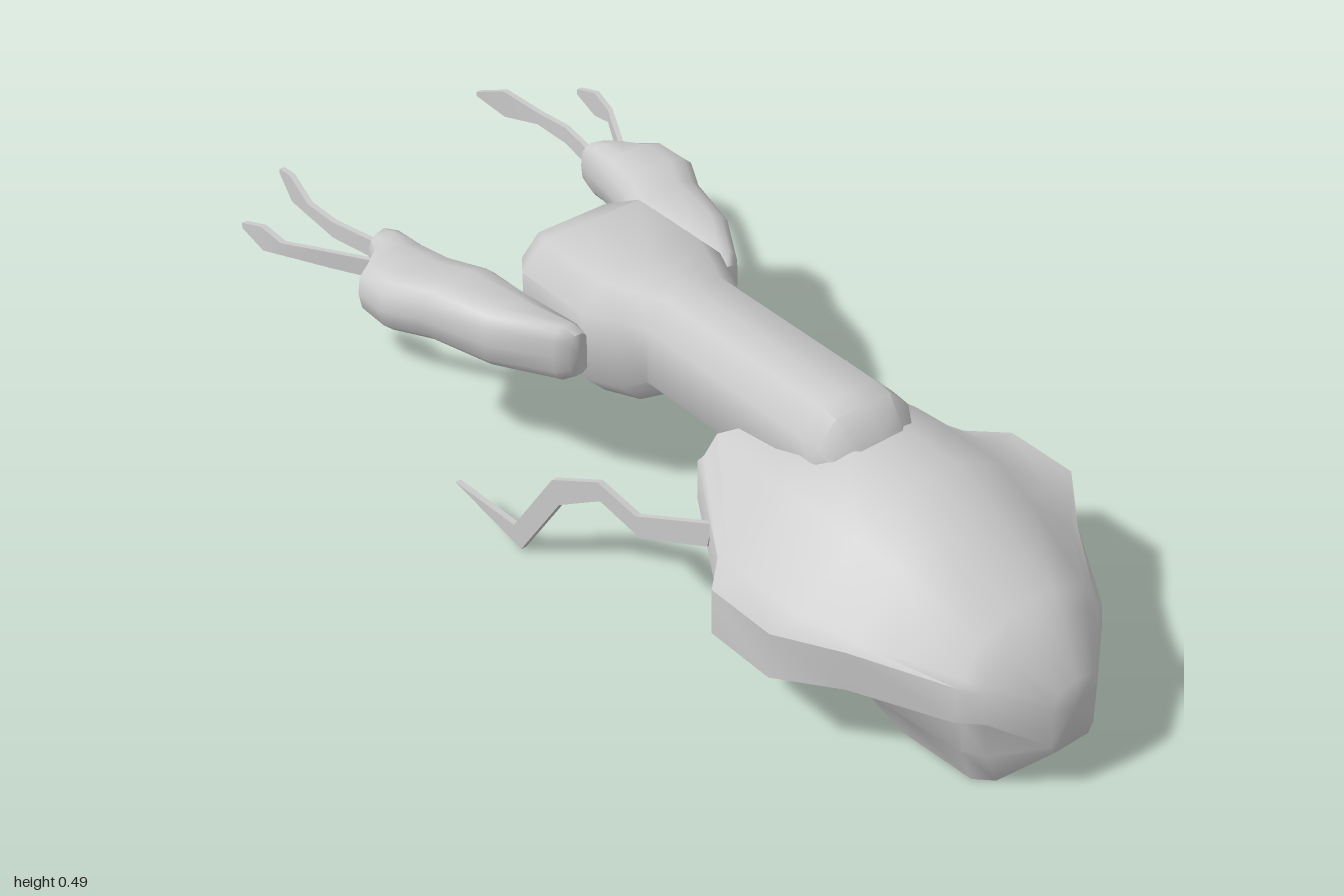
import * as THREE from 'three';
import { toCreasedNormals } from 'three/addons/utils/BufferGeometryUtils.js';

const material = new THREE.MeshStandardMaterial({ color: 0xcccccc });

// Skin a list of rings (counter-clockwise seen from +z, ordered front to back) and cap both ends.
function loft(rings, endCentre) {
  const pos = [];
  const n = rings[0].length;
  const centre = (ring) => [0, 1, 2].map((k) => ring.reduce((s, p) => s + p[k], 0) / n);
  const first = rings[0], last = rings[rings.length - 1];
  const c0 = centre(first), c1 = endCentre || centre(last);
  for (let j = 0; j < n; j++) {
    const k = (j + 1) % n;
    for (let i = 0; i < rings.length - 1; i++) {
      const a = rings[i][j], b = rings[i + 1][j], c = rings[i + 1][k], d = rings[i][k];
      pos.push(...a, ...b, ...d, ...b, ...c, ...d);
    }
    pos.push(...c0, ...first[j], ...first[k], ...c1, ...last[k], ...last[j]);
  }
  const g = new THREE.BufferGeometry();
  g.setAttribute('position', new THREE.Float32BufferAttribute(pos, 3));
  return g;
}

// Full ring from a right-hand half listed top to bottom, both ends on x = 0.
function symmetricRing(half, z) {
  const right = half.slice().reverse();
  const left = half.slice(1, -1).map(([x, y]) => [-x, y]);
  return [...right, ...left].map(([x, y]) => [x, y, z]);
}

// Mirror a non-indexed geometry in x, keeping faces outward.
function mirrorX(geometry) {
  const g = geometry.clone();
  const p = g.attributes.position;
  for (let i = 0; i < p.count; i += 3) {
    const v = [0, 2, 1].map((k) => new THREE.Vector3().fromBufferAttribute(geometry.attributes.position, i + k));
    v.forEach((q, k) => p.setXYZ(i + k, -q.x, q.y, q.z));
  }
  return g;
}

function addMesh(parent, name, geometry, crease) {
  const mesh = new THREE.Mesh(toCreasedNormals(geometry, crease), material);
  mesh.name = name;
  parent.add(mesh);
}

function addPair(parent, name, geometry, crease) {
  addMesh(parent, name + 'Left', geometry, crease);
  addMesh(parent, name + 'Right', mirrorX(geometry), crease);
}

// Broad wedge-shaped bow with blunt side fins and a chin.
function bowGeometry() {
  // z, top y, shoulder x y, fin root x, fin tip x, fin top y, fin bottom y, jaw x y, base x y
  const sections = [
    [1.00, 0.23, 0.04, 0.22, 0.05, 0.05, 0.20, 0.14, 0.05, 0.11, 0.04, 0.09],
    [0.92, 0.31, 0.10, 0.28, 0.13, 0.14, 0.23, 0.15, 0.12, 0.07, 0.09, 0.00],
    [0.89, 0.33, 0.12, 0.30, 0.155, 0.17, 0.24, 0.15, 0.15, 0.08, 0.12, 0.00],
    [0.73, 0.405, 0.15, 0.36, 0.25, 0.27, 0.265, 0.17, 0.165, 0.085, 0.13, 0.00],
    [0.63, 0.435, 0.165, 0.385, 0.29, 0.353, 0.285, 0.175, 0.17, 0.09, 0.15, 0.085],
    [0.48, 0.44, 0.165, 0.385, 0.29, 0.353, 0.285, 0.175, 0.17, 0.09, 0.15, 0.085],
    [0.42, 0.425, 0.165, 0.385, 0.27, 0.29, 0.285, 0.18, 0.17, 0.09, 0.15, 0.085],
    [0.22, 0.385, 0.14, 0.365, 0.16, 0.17, 0.32, 0.22, 0.15, 0.15, 0.13, 0.085],
  ];
  const rings = sections.map(([z, top, sx, sy, rx, fx, ft, fb, jx, jy, bx, by]) => symmetricRing([
    [0, top], [sx * 0.35, top], [sx, sy], [rx, ft], [fx, ft - 0.01],
    [fx, fb + 0.005], [rx, fb], [jx, jy], [bx, by], [0, by],
  ], z));
  // Notched, undercut rear edge
  for (const p of rings[rings.length - 1]) {
    p[2] += 0.1 * (1 - Math.abs(p[0]) / 0.17) + 0.6 * Math.max(0, 0.22 - p[1]);
  }
  return loft(rings, [0, 0.23, 0.34]);
}

// Long chamfered spine that swells at the stern and ends in a square recess.
function spineGeometry() {
  // z, half width, bottom y, top y, chamfer
  const sections = [
    [0.52, 0.07, 0.34, 0.43, 0.025],
    [0.46, 0.107, 0.29, 0.485, 0.045],
    [0.42, 0.107, 0.285, 0.49, 0.045],
    [0.00, 0.107, 0.285, 0.49, 0.045],
    [-0.05, 0.13, 0.255, 0.49, 0.045],
    [-0.12, 0.163, 0.25, 0.49, 0.05],
    [-0.30, 0.163, 0.25, 0.49, 0.05],
    [-0.36, 0.12, 0.25, 0.465, 0.04],
    [-0.385, 0.09, 0.26, 0.43, 0.025],
    [-0.385, 0.07, 0.30, 0.41, 0.01],
    [-0.32, 0.07, 0.30, 0.41, 0.01],
  ];
  return loft(sections.map(([z, w, b, t, c]) => symmetricRing([
    [0, t], [w - c, t], [w, t - c], [w, b + c], [w - c, b], [0, b],
  ], z)));
}

// Rounded side pod, curving outward then ending in a slanted face.
function podGeometry() {
  // z, inner x, outer x, half height
  const sections = [
    [-0.112, 0.155, 0.20, 0.045],
    [-0.135, 0.155, 0.22, 0.06],
    [-0.25, 0.158, 0.295, 0.0625],
    [-0.385, 0.16, 0.335, 0.0625],
    [-0.46, 0.193, 0.378, 0.0625],
    [-0.535, 0.21, 0.375, 0.0625],
    [-0.60, 0.222, 0.32, 0.0625],
    [-0.635, 0.23, 0.30, 0.05],
  ];
  const power = (v) => Math.sign(v) * Math.abs(v) ** 0.7;
  const rings = sections.map(([z, xi, xo, h], i) => Array.from({ length: 14 }, (_, j) => {
    const a = (j / 14) * Math.PI * 2;
    const x = (xi + xo) / 2 + power(Math.cos(a)) * (xo - xi) / 2;
    const slant = i >= 6 ? (x - 0.23) * 0.35 : 0;
    return [x, 0.3625 + power(Math.sin(a)) * h, z + slant];
  }));
  return loft(rings);
}

// Thin bent prong with a spear-shaped end; path rows are x, z, half height.
function prongGeometry(path) {
  const t = 0.006, y = 0.363;
  return loft(path.map(([x, z, h]) => [
    [x + t, y - h, z], [x + t, y + h, z], [x - t, y + h, z], [x - t, y - h, z],
  ]));
}

// Flat crooked leg, splayed outward toward the rear.
function legGeometry() {
  const outline = [ // z, y
    [0.347, 0.28], [0.337, 0.225], [0.19, 0.17], [0.10, 0.21], [0.005, 0.155], [-0.09, 0.005],
    [-0.245, 0.088], [-0.105, 0.055], [-0.01, 0.205], [0.095, 0.25], [0.18, 0.215],
  ];
  const shape = new THREE.Shape(outline.map(([z, y]) => new THREE.Vector2(-z, y)));
  const g = new THREE.ExtrudeGeometry(shape, { depth: 0.012, bevelEnabled: false });
  g.rotateY(Math.PI / 2);
  const p = g.attributes.position;
  for (let i = 0; i < p.count; i++) p.setX(i, p.getX(i) + 0.234 + (0.33 - p.getZ(i)) * 0.224);
  return g;
}

export function createModel() {
  const model = new THREE.Group();
  model.name = 'spacecraft';
  addMesh(model, 'bow', bowGeometry(), 0.9);
  addMesh(model, 'spine', spineGeometry(), 0.9);
  addPair(model, 'pod', podGeometry(), 0.9);
  addPair(model, 'outerProng', prongGeometry([
    [0.30, -0.58, 0.02], [0.345, -0.66, 0.018], [0.398, -0.755, 0.014], [0.406, -0.81, 0.027], [0.41, -0.875, 0.006],
  ]), 0.4);
  addPair(model, 'innerProng', prongGeometry([
    [0.255, -0.60, 0.02], [0.283, -0.75, 0.018], [0.28, -0.84, 0.014], [0.262, -0.93, 0.03], [0.243, -1.0, 0.005],
  ]), 0.4);
  addPair(model, 'leg', legGeometry(), 0.4);
  return model;
}
